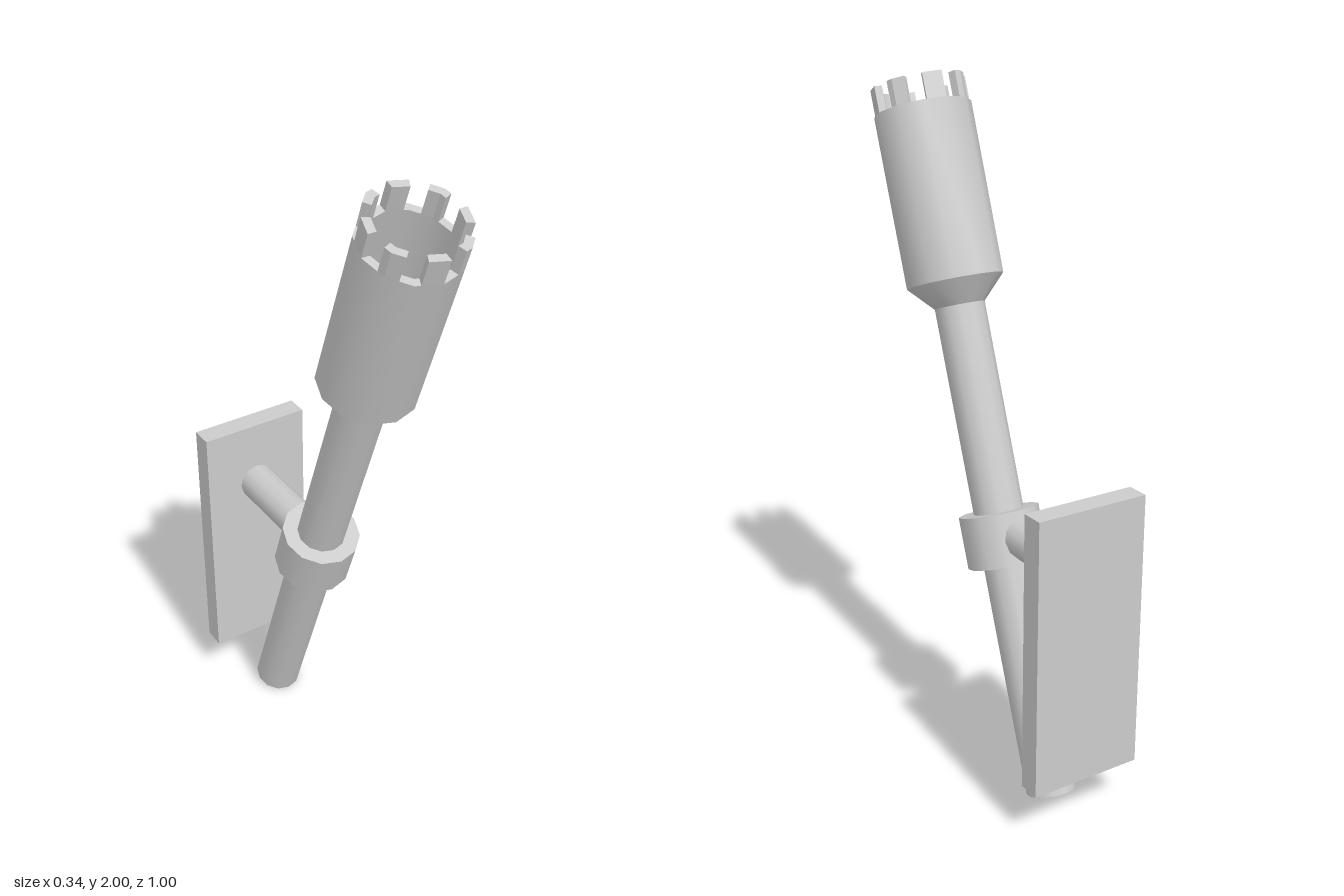
import * as THREE from 'three';
import { toCreasedNormals } from 'three/addons/utils/BufferGeometryUtils.js';

const SIDES = 12;
const material = new THREE.MeshStandardMaterial({ color: 0xcccccc });

function addMesh(parent, name, geometry, x = 0, y = 0, z = 0) {
  const mesh = new THREE.Mesh(geometry, material);
  mesh.name = name;
  mesh.position.set(x, y, z);
  parent.add(mesh);
  return mesh;
}

// Point on the outline of a twelve-sided ring, at an angle in degrees
function ringPoint(radius, deg) {
  const step = 360 / SIDES;
  const local = ((deg % step) + step) % step - step / 2;
  const r = radius * Math.cos(Math.PI / SIDES) / Math.cos(THREE.MathUtils.degToRad(local));
  const a = THREE.MathUtils.degToRad(deg);
  return new THREE.Vector2(r * Math.sin(a), -r * Math.cos(a));
}

// Upright piece of the rim between two angles
function toothGeometry(inner, outer, from, to, height) {
  const angles = [from];
  for (let a = Math.floor(from / 30) * 30 + 30; a < to; a += 30) angles.push(a);
  angles.push(to);
  const points = [
    ...angles.map(a => ringPoint(outer, a)),
    ...angles.slice().reverse().map(a => ringPoint(inner, a)),
  ];
  const geometry = new THREE.ExtrudeGeometry(new THREE.Shape(points), { depth: height, bevelEnabled: false });
  return geometry.rotateX(-Math.PI / 2);
}

export function createModel() {
  const model = new THREE.Group();
  model.name = 'wallTorch';

  // Leaning torch, built upright along its own axis
  const torch = new THREE.Group();
  torch.name = 'torch';
  torch.position.set(0, 0.025, -0.335);
  torch.rotation.x = THREE.MathUtils.degToRad(20);
  model.add(torch);

  addMesh(torch, 'shaft', new THREE.CylinderGeometry(0.072, 0.072, 1.43, SIDES), 0, 0.715, 0);
  addMesh(torch, 'collar', new THREE.CylinderGeometry(0.116, 0.116, 0.15, SIDES), 0, 0.75, 0);

  // Hollow cup with a tapered base
  const inner = 0.115, outer = 0.139, rimY = 1.98;
  const profile = [
    [0, 1.42], [0.072, 1.42], [outer, 1.49], [outer, rimY],
    [inner, rimY], [inner, 1.63], [0, 1.63],
  ].map(([r, y]) => new THREE.Vector2(r, y));
  const cup = toCreasedNormals(new THREE.LatheGeometry(profile, SIDES), THREE.MathUtils.degToRad(35));
  addMesh(torch, 'cup', cup);

  // Eight teeth around the rim
  for (let i = 0; i < 8; i++) {
    const end = i * 45;
    addMesh(torch, 'rimTooth', toothGeometry(inner, outer, end - 23.5, end, 0.073), 0, rimY, 0);
  }

  // Wall mount
  const arm = new THREE.CylinderGeometry(0.057, 0.057, 0.34, SIDES).rotateX(Math.PI / 2);
  addMesh(model, 'mountArm', arm, 0, 0.76, -0.27);
  addMesh(model, 'wallPlate', new THREE.BoxGeometry(0.34, 0.81, 0.066), 0, 0.56, -0.465);

  return model;
}
